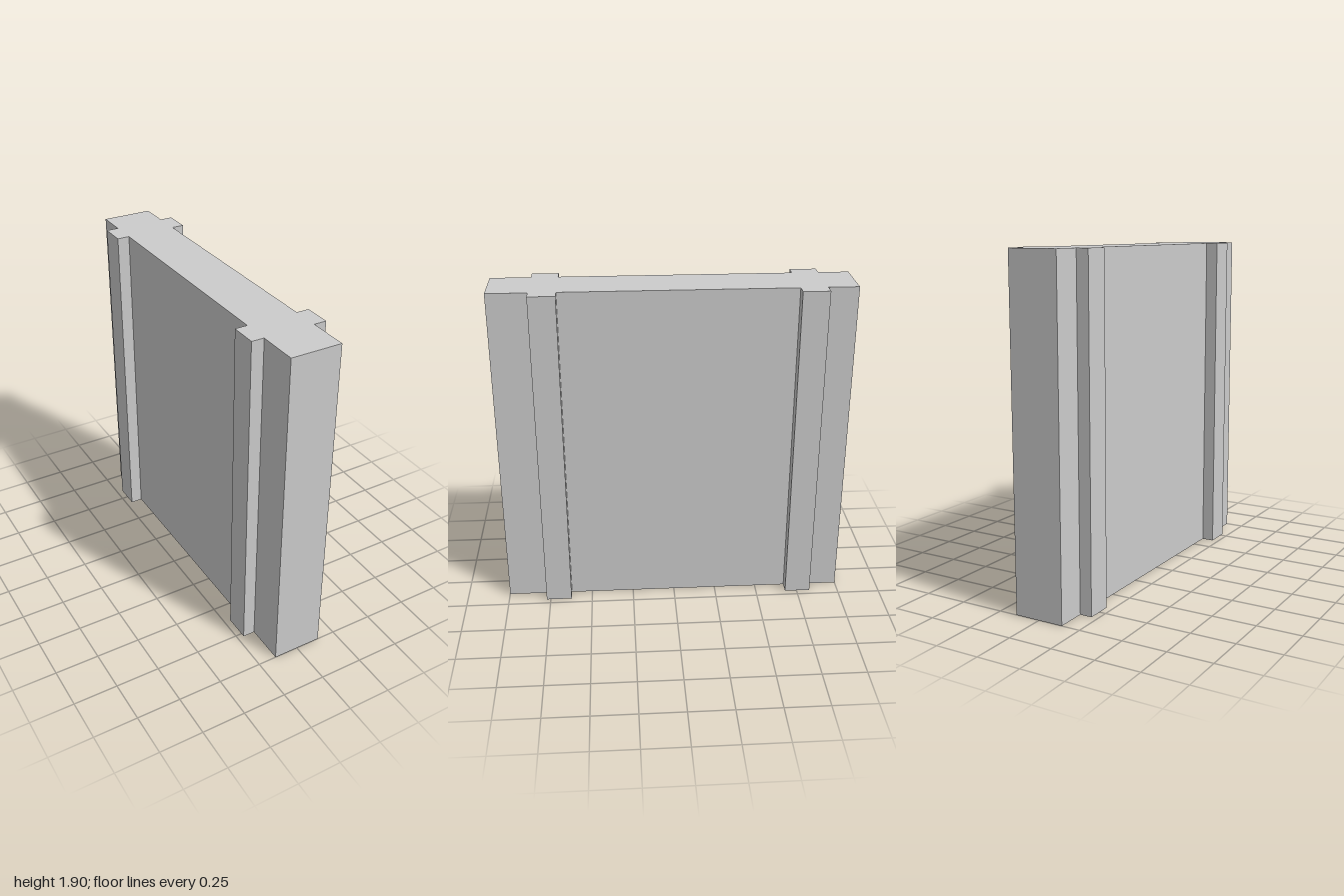
import * as THREE from 'three';

const HEIGHT = 1.9;
const SLAB = 0.143; // half thickness of the panel
const RIB = 0.213; // half thickness across the ribs
const RIBS = [[-0.829, -0.679], [0.624, 0.774]]; // z ranges of the ribs

export function createModel() {
  const group = new THREE.Group();
  group.name = 'ribbedPanel';
  const material = new THREE.MeshStandardMaterial({ color: 0xcccccc, flatShading: true });

  // One side of the plan outline, from back to front, as [half width, z]
  const side = [[SLAB, -1]];
  for (const [z0, z1] of RIBS) side.push([SLAB, z0], [RIB, z0], [RIB, z1], [SLAB, z1]);
  side.push([SLAB, 1]);

  // Mirror it to close the plan (shape y becomes -z once laid flat)
  const outline = [
    ...side.map(([x, z]) => new THREE.Vector2(x, -z)),
    ...side.reverse().map(([x, z]) => new THREE.Vector2(-x, -z)),
  ];

  // Panel with full-height ribs on both faces
  const geometry = new THREE.ExtrudeGeometry(new THREE.Shape(outline), { depth: HEIGHT, bevelEnabled: false });
  geometry.rotateX(-Math.PI / 2);
  const panel = new THREE.Mesh(geometry, material);
  panel.name = 'panelWithRibs';
  group.add(panel);
  return group;
}
